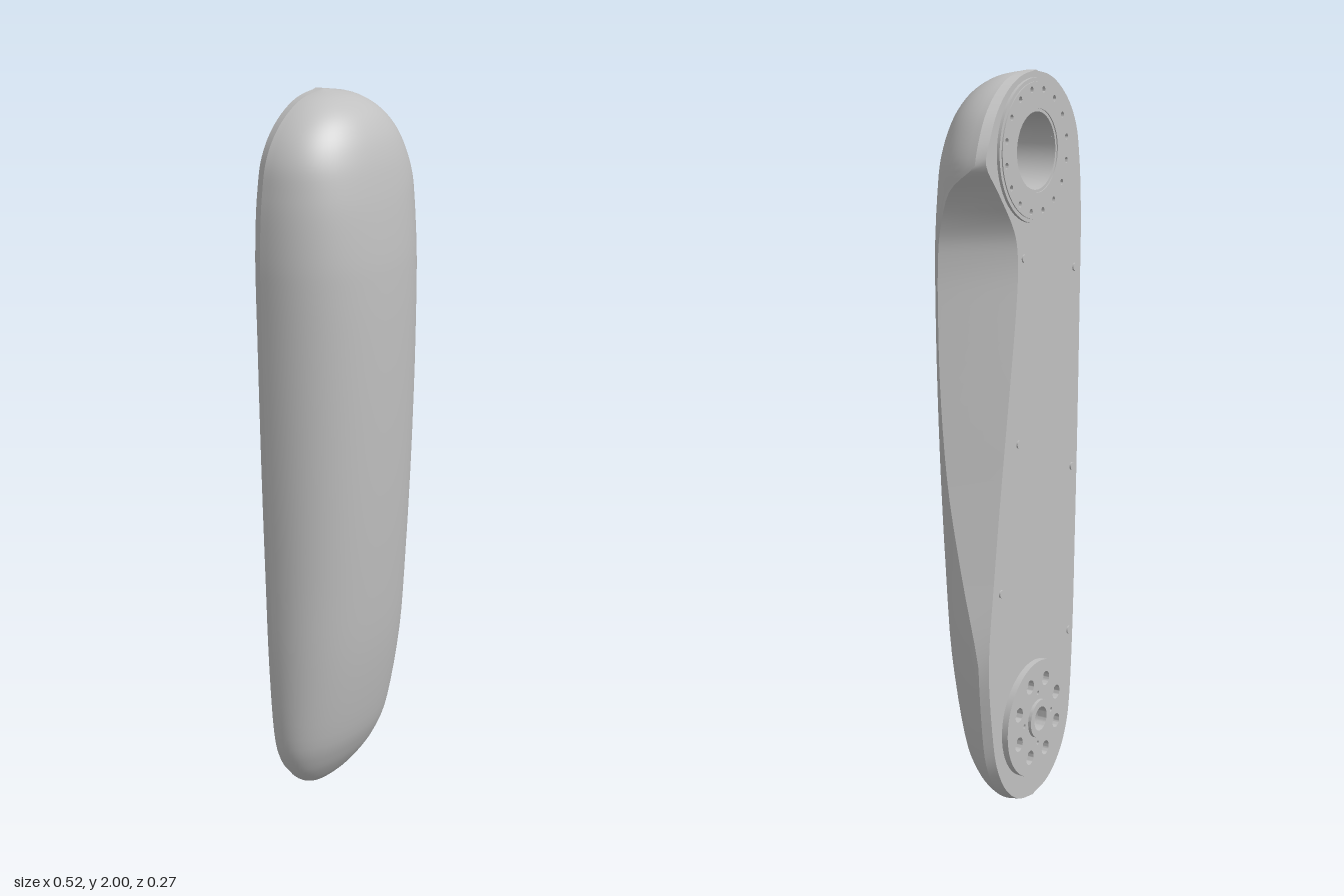
import * as THREE from 'three';
import { toCreasedNormals } from 'three/addons/utils/BufferGeometryUtils.js';

const SEAM = -0.085, BACK = -0.11;

// y, left half width, right half width, front z, scoop edge z, back plate right edge
const KEYS = [
  [0, 0, 0, -0.085, -0.085, 0],
  [0.015, 0.083, 0.083, -0.06, -0.085, 0.073],
  [0.055, 0.145, 0.145, -0.028, -0.085, 0.134],
  [0.12, 0.192, 0.194, 0.01, -0.085, 0.182],
  [0.22, 0.22, 0.226, 0.045, -0.085, 0.214],
  [0.45, 0.237, 0.25, 0.085, -0.085, 0.238],
  [0.7, 0.245, 0.252, 0.108, -0.03, 0.208],
  [0.95, 0.252, 0.255, 0.123, 0.025, 0.17],
  [1.2, 0.257, 0.258, 0.132, 0.055, 0.128],
  [1.4, 0.26, 0.26, 0.135, 0.06, 0.097],
  [1.52, 0.262, 0.262, 0.134, 0.055, 0.09],
  [1.6, 0.262, 0.262, 0.131, 0.042, 0.112],
  [1.7, 0.257, 0.262, 0.122, 0, 0.19],
  [1.77, 0.249, 0.26, 0.112, -0.085, 0.247],
  [1.84, 0.235, 0.237, 0.097, -0.085, 0.225],
  [1.9, 0.203, 0.203, 0.074, -0.085, 0.192],
  [1.95, 0.152, 0.152, 0.038, -0.085, 0.142],
  [1.985, 0.086, 0.086, -0.018, -0.085, 0.076],
  [2, 0, 0, -0.085, -0.085, 0],
];

// Smoothly resample the key sections along the height
function makeSections() {
  const spline = (f) => new THREE.CatmullRomCurve3(KEYS.map((k) => new THREE.Vector3(...f(k))), false, 'catmullrom', 0.5);
  const outline = spline((k) => [k[1], k[0], k[2]]);
  const depth = spline((k) => [k[3], k[4], k[5]]);
  const n = (KEYS.length - 1) * 4;
  return Array.from({ length: n + 1 }, (_, i) => {
    const a = outline.getPoint(i / n), b = depth.getPoint(i / n);
    return {
      y: a.y, left: Math.max(0, a.x), right: Math.max(0, a.z), front: Math.max(SEAM, b.x),
      scoop: Math.max(SEAM, b.y), plate: Math.max(0, b.z), plateLeft: -Math.max(0, a.x - 0.011),
    };
  });
}

// Skin a grid of points, rows running upward
function skin(rows) {
  const w = rows[0].length, index = [];
  for (let i = 0; i < rows.length - 1; i++) {
    for (let j = 0; j < w - 1; j++) {
      const a = i * w + j, b = a + w;
      index.push(a, a + 1, b + 1, a, b + 1, b);
    }
  }
  const g = new THREE.BufferGeometry();
  g.setAttribute('position', new THREE.Float32BufferAttribute(rows.flat(2), 3));
  g.setIndex(index);
  g.computeVertexNormals();
  return g;
}

// Rounded cross-section from the left seam over the front to the scoop edge
function arc(s, steps = 36) {
  const p = 0.88, b = s.front - SEAM;
  const h = b > 1e-5 ? Math.min(1, (s.scoop - SEAM) / b) : 0;
  const end = Math.asin(Math.pow(h, 1 / p));
  return Array.from({ length: steps + 1 }, (_, j) => {
    const t = Math.PI + (end - Math.PI) * j / steps;
    const c = Math.cos(t), r = c < 0 ? s.left : s.right;
    return [Math.sign(c) * r * Math.pow(Math.abs(c), p), s.y, SEAM + b * Math.pow(Math.max(0, Math.sin(t)), p)];
  });
}

function circle(x, y, r, Type = THREE.Path) {
  const c = new Type();
  c.absarc(x, y, r, 0, Math.PI * 2, false);
  return c;
}

// Flat round flange with holes given as [x, y, radius]
function flange(radius, zOuter, zInner, holes) {
  const shape = circle(0, 0, radius, THREE.Shape);
  shape.holes = holes.map((h) => circle(...h));
  const g = new THREE.ExtrudeGeometry(shape, { depth: zInner - zOuter, bevelEnabled: false, curveSegments: 28 });
  g.translate(0, 0, zOuter);
  return toCreasedNormals(g, 0.6);
}

function holeRing(count, radius, size, phase = 0) {
  return Array.from({ length: count }, (_, i) => {
    const a = phase + i * Math.PI * 2 / count;
    return [Math.cos(a) * radius, Math.sin(a) * radius, size];
  });
}

export function createModel() {
  const model = new THREE.Group();
  const grey = new THREE.MeshStandardMaterial({ color: 0xc0c0c0 });
  grey.name = 'light grey';
  const inside = new THREE.MeshStandardMaterial({ color: 0xc0c0c0, side: THREE.DoubleSide });
  inside.name = 'light grey inside';
  const add = (name, geometry, x = 0, y = 0, z = 0, material = grey) => {
    const m = new THREE.Mesh(geometry, material);
    m.name = name;
    m.position.set(x, y, z);
    model.add(m);
    return m;
  };

  const top = { x: 0.01, y: 1.795 }, low = { x: 0.005, y: 0.235 };
  const sections = makeSections();

  // Domed cover, scooped side and narrow left rim
  const arcs = sections.map((s) => arc(s));
  add('cover', skin(arcs));
  add('scoopedSide', skin(sections.map((s, i) => [arcs[i].at(-1), [s.plate, s.y, BACK]])));
  add('leftRim', skin(sections.map((s) => [[s.plateLeft, s.y, BACK], [-s.left, s.y, SEAM]])));

  // Back plate with two openings, turned to face backward
  const edge = [
    ...sections.map((s) => new THREE.Vector2(-s.plate, s.y)),
    ...sections.slice(1, -1).reverse().map((s) => new THREE.Vector2(-s.plateLeft, s.y)),
  ];
  const plate = new THREE.Shape(edge);
  plate.holes = [circle(-top.x, top.y, 0.1), circle(-low.x, low.y, 0.034)];
  const plateGeometry = new THREE.ShapeGeometry(plate, 28);
  plateGeometry.rotateY(Math.PI);
  add('backPlate', plateGeometry, 0, 0, BACK);

  // Recesses behind the openings
  for (const [name, c, r, d] of [['upperRecess', top, 0.1, 0.12], ['lowerRecess', low, 0.034, 0.06]]) {
    const wall = new THREE.CylinderGeometry(r, r, d, 48, 1, true);
    wall.rotateX(Math.PI / 2);
    add(name + 'Wall', wall, c.x, c.y, BACK + d / 2, inside);
    add(name + 'Floor', new THREE.CircleGeometry(r, 48), c.x, c.y, BACK + d, inside);
  }

  // Upper bearing ring with bolt holes
  add('upperRing', flange(0.186, -0.118, BACK, [[0, 0, 0.1], ...holeRing(16, 0.158, 0.008, 0.2)]), top.x, top.y);
  add('upperRingStep', flange(0.176, -0.121, -0.118, [[0, 0, 0.108], ...holeRing(16, 0.158, 0.008, 0.2)]), top.x, top.y);

  // Lower drive flange with raised hub
  add('lowerFlange', flange(0.165, -0.128, BACK, [
    [0, 0, 0.034], ...holeRing(8, 0.112, 0.02, Math.PI / 8), ...holeRing(4, 0.074, 0.006),
  ]), low.x, low.y);
  add('lowerHub', flange(0.054, -0.137, -0.128, [[0, 0, 0.034]]), low.x, low.y);

  // Small screws along the plate
  const screw = new THREE.CylinderGeometry(0.011, 0.011, 0.006, 16);
  screw.rotateX(Math.PI / 2);
  for (const [x, y] of [[0.06, 1.52], [-0.215, 1.47], [0.085, 1.03], [-0.21, 0.91], [0.175, 0.64], [-0.2, 0.43]]) {
    add('screw', screw, x, y, BACK - 0.001);
  }
  return model;
}
